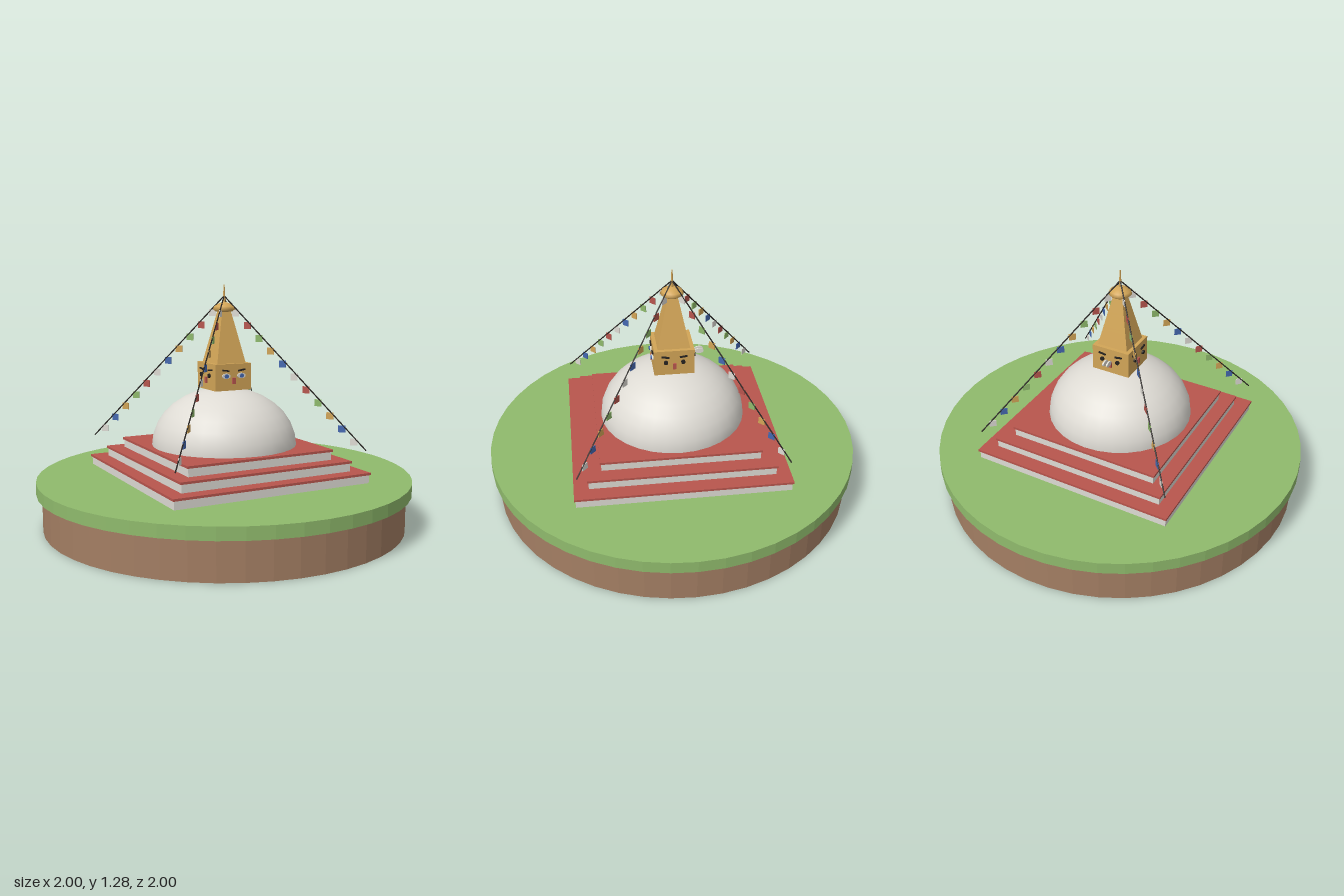
import * as THREE from 'three';

const mat = (name, color, extra = {}) => {
  const m = new THREE.MeshStandardMaterial({ color, ...extra });
  m.name = name;
  return m;
};

export function createModel() {
  const grass = mat('grass green', 0x8fba6c, { flatShading: true });
  const soil = mat('soil brown', 0xa37e63, { flatShading: true });
  const plaster = mat('white plaster', 0xdedbd4);
  const red = mat('brick red', 0xb8554d);
  const gold = mat('gold', 0xd2a557);
  const blue = mat('flag blue', 0x4468b0);
  const dark = mat('dark line', 0x26221f);

  const model = new THREE.Group();
  model.name = 'stupa';
  const add = (name, geo, material, x = 0, y = 0, z = 0, parent = model) => {
    const m = new THREE.Mesh(geo, material);
    m.name = name;
    m.position.set(x, y, z);
    parent.add(m);
    return m;
  };
  const box = (w, h, d) => new THREE.BoxGeometry(w, h, d);

  // Round island
  add('soilBase', new THREE.CylinderGeometry(0.97, 0.97, 0.2, 48), soil, 0, 0.1);
  add('grassDisc', new THREE.CylinderGeometry(1, 1, 0.065, 48), grass, 0, 0.2325);

  // Three square terraces, each capped by a red slab
  [0.553, 0.483, 0.413].forEach((r, i) => {
    const y = 0.265 + i * 0.055;
    add('terrace', box(r * 2, 0.043, r * 2), plaster, 0, y + 0.0215);
    add('terraceTrim', box(r * 2 + 0.014, 0.012, r * 2 + 0.014), red, 0, y + 0.049);
  });

  // Flattened dome
  const domeGeo = new THREE.SphereGeometry(0.388, 32, 8, 0, Math.PI * 2, 0, Math.PI / 2);
  domeGeo.scale(1, 0.305 / 0.388, 1);
  add('dome', domeGeo, plaster, 0, 0.43);

  // Square tower with a face on every side
  add('tower', box(0.21, 0.14, 0.21), gold, 0, 0.8);
  const disc = (r, depth) => new THREE.CylinderGeometry(r, r, depth, 16).rotateX(Math.PI / 2);
  for (let i = 0; i < 4; i++) {
    const face = new THREE.Group();
    face.name = 'towerFace';
    face.rotation.y = i * Math.PI / 2;
    model.add(face);
    for (const s of [-1, 1]) {
      if (i === 0) {
        add('eyeWhite', disc(0.024, 0.008).scale(1, 0.58, 1), plaster, s * 0.045, 0.807, 0.108, face);
      }
      add('pupil', disc(0.011, 0.009), i === 0 ? blue : dark, s * 0.045, 0.807, 0.113, face);
      const brow = add('brow', box(0.04, 0.008, 0.008), dark, s * 0.047, 0.836, 0.108, face);
      brow.rotation.z = s * 0.15;
    }
    add('nose', box(0.018, 0.032, 0.009), red, 0, 0.781, 0.109, face);
  }

  // Loose eye plates standing behind the tower
  for (const s of [-1, 1]) {
    const g = disc(0.024, 0.008).scale(1, 0.58, 1).rotateY(Math.PI / 2);
    add('rearEyePlate', g, plaster, s * 0.011, 0.807, -0.143);
  }

  // Stepped square spire
  const steps = 13;
  for (let i = 0; i < steps; i++) {
    const r = 0.085 - 0.054 * i / (steps - 1);
    const h = 0.27 / steps;
    const g = new THREE.CylinderGeometry((r - 0.005) * Math.SQRT2, r * Math.SQRT2, h, 4).toNonIndexed();
    g.rotateY(Math.PI / 4);
    g.computeVertexNormals();
    add('spireStep', g, gold, 0, 0.87 + h * (i + 0.5));
  }

  // Parasol and pinnacle
  const cap = [[0, 1.138], [0.045, 1.138], [0.06, 1.15], [0.052, 1.166], [0.03, 1.18], [0.01, 1.187], [0, 1.188]];
  add('parasol', new THREE.LatheGeometry(cap.map(p => new THREE.Vector2(...p)), 24), gold);
  add('pinnacle', new THREE.CylinderGeometry(0.003, 0.008, 0.1, 8), gold, 0, 1.228);

  // Four lines of prayer flags running from the spire to the terrace corners
  const flagColours = [plaster, red, grass, gold, blue];
  const reach = 0.54 * Math.SQRT2;
  const top = new THREE.Vector3(0, 1.22, 0);
  const end = new THREE.Vector3(reach, 0.435, 0);
  const ropePath = new THREE.LineCurve3(top, end);
  const ropeGeo = new THREE.TubeGeometry(ropePath, 1, 0.0035, 6);
  const flagGeo = box(0.037, 0.036, 0.004);
  for (let c = 0; c < 4; c++) {
    const line = new THREE.Group();
    line.name = 'flagLine';
    line.rotation.y = Math.PI / 4 + c * Math.PI / 2;
    model.add(line);
    add('rope', ropeGeo, dark, 0, 0, 0, line);
    for (let k = 1; k <= 11; k++) {
      const p = ropePath.getPoint(k / 12);
      add('flag', flagGeo, flagColours[(k - 1) % 5], p.x, p.y - 0.024, 0, line);
    }
  }
  return model;
}
